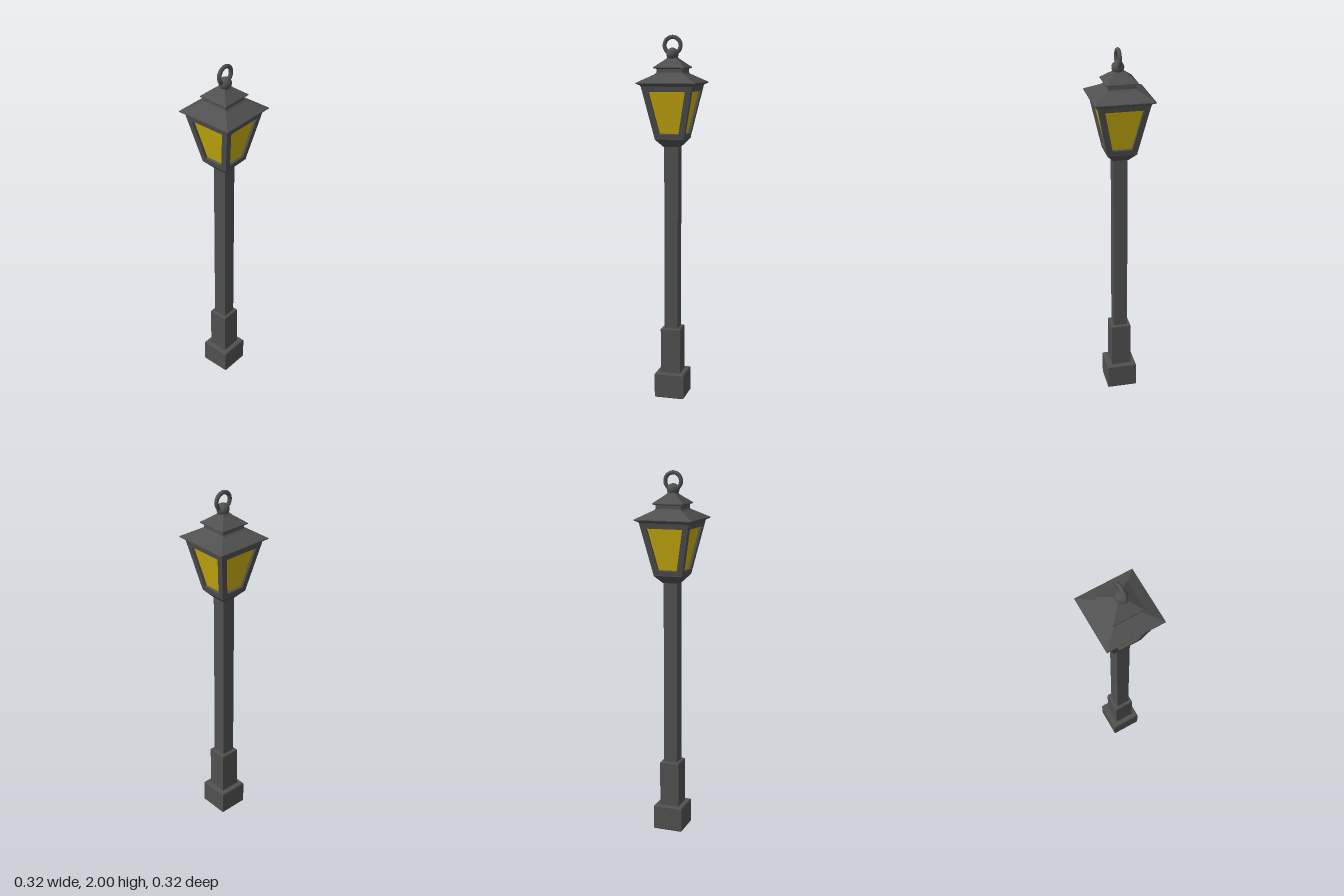
import * as THREE from 'three';

const metal = new THREE.MeshStandardMaterial({ color: 0x505050 });
metal.name = 'darkMetal';
const amber = new THREE.MeshStandardMaterial({ color: 0xc9ad10 });
amber.name = 'amberGlass';

function addMesh(parent, name, geometry, material) {
  const mesh = new THREE.Mesh(geometry, material);
  mesh.name = name;
  parent.add(mesh);
  return mesh;
}

// Square-section solid from [halfWidth, y] pairs, bottom to top, with flat faces.
function squareLoft(profile) {
  const closed = [[0, profile[0][1]], ...profile, [0, profile[profile.length - 1][1]]];
  const points = closed.map(([w, y]) => new THREE.Vector2(w * Math.SQRT2, y));
  const geometry = new THREE.LatheGeometry(points, 4, Math.PI / 4).toNonIndexed();
  geometry.computeVertexNormals();
  return geometry;
}

// Square block with a small chamfer at top and bottom.
function block(half, y0, y1, c = 0.005) {
  return squareLoft([[half - c, y0], [half, y0 + c], [half, y1 - c], [half - c, y1]]);
}

// Lantern slope: half width as a function of height.
const LOW = 1.455, HIGH = 1.737, W_LOW = 0.08, W_HIGH = 0.139;
const widthAt = (y) => W_LOW + ((W_HIGH - W_LOW) * (y - LOW)) / (HIGH - LOW);

// One sloping frame side with a trapezoid opening.
function framePanel() {
  const tilt = Math.atan2(W_HIGH - W_LOW, HIGH - LOW);
  const v = (y) => (y - LOW) / Math.cos(tilt);
  const trapezoid = (y0, y1, inset) => [
    [-widthAt(y0) + inset, v(y0)], [widthAt(y0) - inset, v(y0)],
    [widthAt(y1) - inset, v(y1)], [-widthAt(y1) + inset, v(y1)],
  ].map(([x, y]) => new THREE.Vector2(x, y));
  const shape = new THREE.Shape(trapezoid(LOW, HIGH, 0));
  shape.holes.push(new THREE.Path(trapezoid(1.478, 1.704, 0.032).reverse()));
  const depth = 0.018;
  const geometry = new THREE.ExtrudeGeometry(shape, { depth, bevelEnabled: false });
  geometry.translate(0, 0, -depth);
  geometry.rotateX(tilt);
  geometry.translate(0, LOW, W_LOW);
  return geometry;
}

export function createModel() {
  const group = new THREE.Group();
  group.name = 'streetLamp';

  // Stepped post
  addMesh(group, 'base', block(0.083, 0, 0.14), metal);
  addMesh(group, 'plinth', block(0.055, 0.135, 0.395), metal);
  addMesh(group, 'pole', squareLoft([[0.038, 0.39], [0.038, 1.42]]), metal);

  // Lantern body
  const lantern = new THREE.Group();
  lantern.name = 'lantern';
  group.add(lantern);
  addMesh(lantern, 'neck', squareLoft([[0.042, 1.408], [0.08, 1.45], [0.08, 1.458]]), metal);
  const panel = framePanel();
  for (let i = 0; i < 4; i++) {
    addMesh(lantern, 'framePanel', panel, metal).rotation.y = (i * Math.PI) / 2;
  }
  const inset = 0.014;
  addMesh(lantern, 'glass', squareLoft([
    [widthAt(1.465) - inset, 1.465], [widthAt(1.725) - inset, 1.725],
  ]), amber);

  // Two-tier roof
  addMesh(lantern, 'roof', squareLoft([
    [0.137, 1.73], [0.142, 1.738], [0.159, 1.746], [0.159, 1.751], [0.078, 1.795],
    [0.071, 1.803], [0.071, 1.826],
  ]), metal);
  addMesh(lantern, 'cap', squareLoft([
    [0.07, 1.822], [0.085, 1.826], [0.085, 1.831], [0.03, 1.874], [0.02, 1.885],
  ]), metal);

  // Finial ball and hanging ring
  const ball = addMesh(group, 'finialBall', new THREE.SphereGeometry(0.033, 24, 16), metal);
  ball.position.set(0.007, 1.9, 0);
  const ring = addMesh(group, 'ring', new THREE.TorusGeometry(0.044, 0.011, 12, 36), metal);
  ring.rotation.y = Math.PI / 2;
  ring.position.set(0.006, 1.945, 0);

  return group;
}
